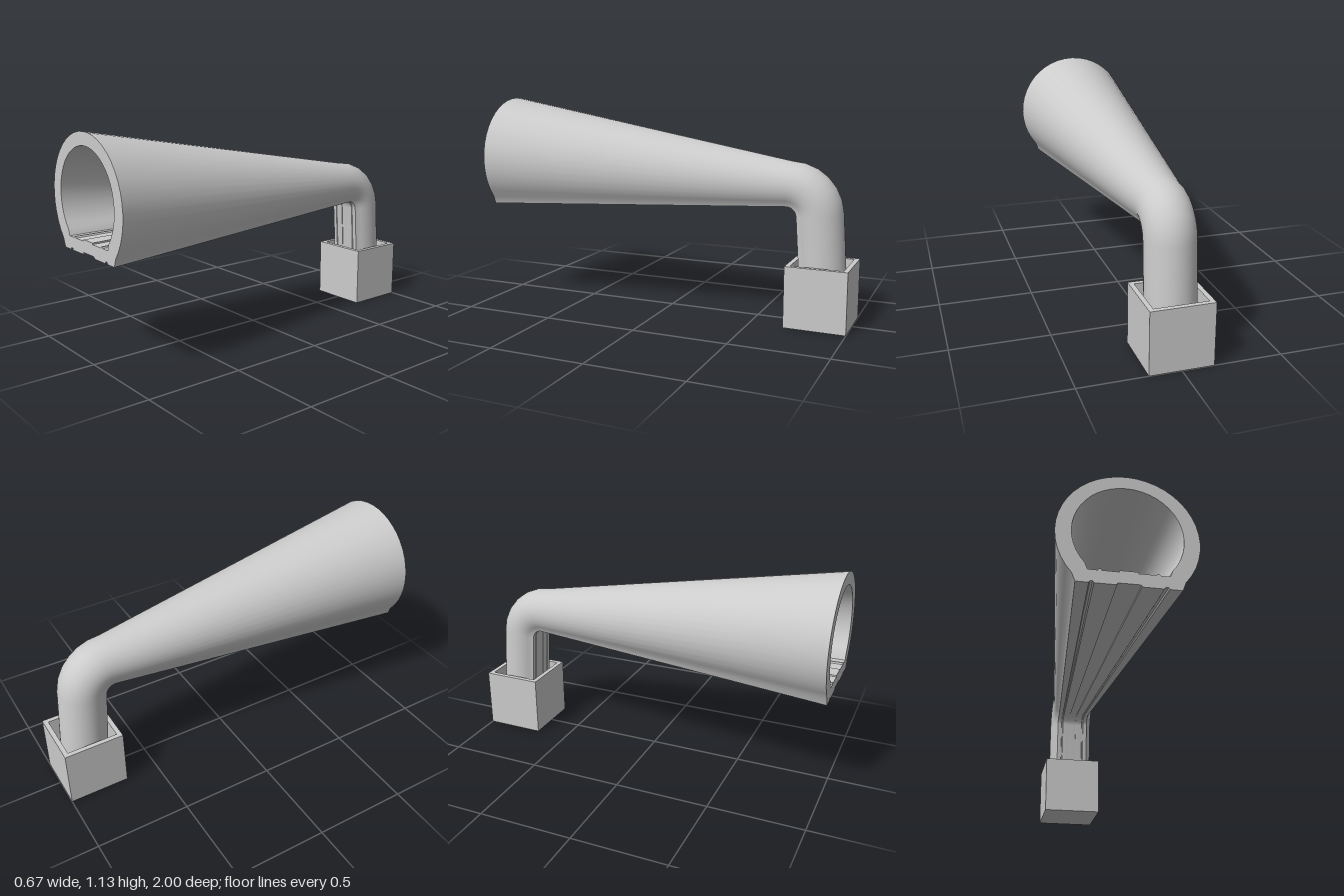
import * as THREE from 'three';
import { toCreasedNormals } from 'three/addons/utils/BufferGeometryUtils.js';

const material = new THREE.MeshStandardMaterial({ color: 0xcccccc });

// Round section with a flat, grooved underside, counter-clockwise
function hornProfile() {
  const points = [];
  for (let i = 0; i <= 32; i++) {
    const a = THREE.MathUtils.degToRad(-40 + (260 * i) / 32);
    points.push([0.333 * Math.cos(a), 0.333 * Math.sin(a)]);
  }
  const low = -0.256, groove = -0.246;
  const half = [[0.24, low], [0.18, low], [0.175, groove], [0.163, groove], [0.157, low], [0.055, low], [0.055, groove]];
  half.forEach(([x, y]) => points.push([-x, y]));
  half.reverse().forEach(([x, y]) => points.push([x, y]));
  return points;
}

// Stations along the horn: centre, tilt of the section and its scale
function hornStations() {
  const stations = [{ y: 0.799, z: 1, a: 0, s: 1 }];
  const steps = 6, s = 0.377, end = THREE.MathUtils.degToRad(86);
  for (let i = 0; i <= steps; i++) {
    const a = (end * i) / steps, r = 0.052 + 0.256 * s;
    stations.push({ y: 0.56 + r * Math.cos(a), z: -0.665 - r * Math.sin(a), a, s });
  }
  // Straight drop into the box
  const last = stations[stations.length - 1], drop = 0.53;
  stations.push({ y: last.y - drop * Math.sin(end), z: last.z - drop * Math.cos(end), a: end, s });
  return stations;
}

// Outer wall forward, inner wall back: one closed thick shell
function hornGeometry() {
  const profile = hornProfile(), stations = hornStations();
  const ring = (st, inner) => profile.map(([x, y]) => {
    const k = inner ? 0.775 : 1;
    const v = (y * k + (inner ? 0.009 : 0)) * st.s;
    return [x * k * st.s, st.y + v * Math.cos(st.a), st.z - v * Math.sin(st.a)];
  });
  const rings = [
    ...stations.map((st) => ring(st, false)),
    ...[...stations].reverse().map((st) => ring(st, true)),
  ];
  const n = profile.length, index = [];
  for (let i = 0; i < rings.length; i++) {
    const next = (i + 1) % rings.length;
    for (let j = 0; j < n; j++) {
      const k = (j + 1) % n;
      const a = i * n + j, b = next * n + j, c = next * n + k, d = i * n + k;
      index.push(a, b, c, a, c, d);
    }
  }
  const geometry = new THREE.BufferGeometry();
  geometry.setAttribute('position', new THREE.Float32BufferAttribute(rings.flat(2), 3));
  geometry.setIndex(index);
  return toCreasedNormals(geometry, 0.5);
}

function squarePath(path, h) {
  path.moveTo(-h, -h);
  path.lineTo(h, -h);
  path.lineTo(h, h);
  path.lineTo(-h, h);
  path.closePath();
  return path;
}

export function createModel() {
  const group = new THREE.Group();
  const add = (name, geometry, parent = group) => {
    const mesh = new THREE.Mesh(geometry, material);
    mesh.name = name;
    parent.add(mesh);
    return mesh;
  };

  add('horn', hornGeometry());

  // Open-topped box
  const box = new THREE.Group();
  box.name = 'baseBox';
  box.position.z = -0.84;
  group.add(box);
  const outline = squarePath(new THREE.Shape(), 0.16);
  outline.holes.push(squarePath(new THREE.Path(), 0.135));
  const walls = new THREE.ExtrudeGeometry(outline, { depth: 0.32, bevelEnabled: false });
  add('boxWalls', walls.rotateX(-Math.PI / 2), box);
  add('boxFloor', new THREE.BoxGeometry(0.27, 0.025, 0.27).translate(0, 0.0125, 0), box);

  return group;
}
